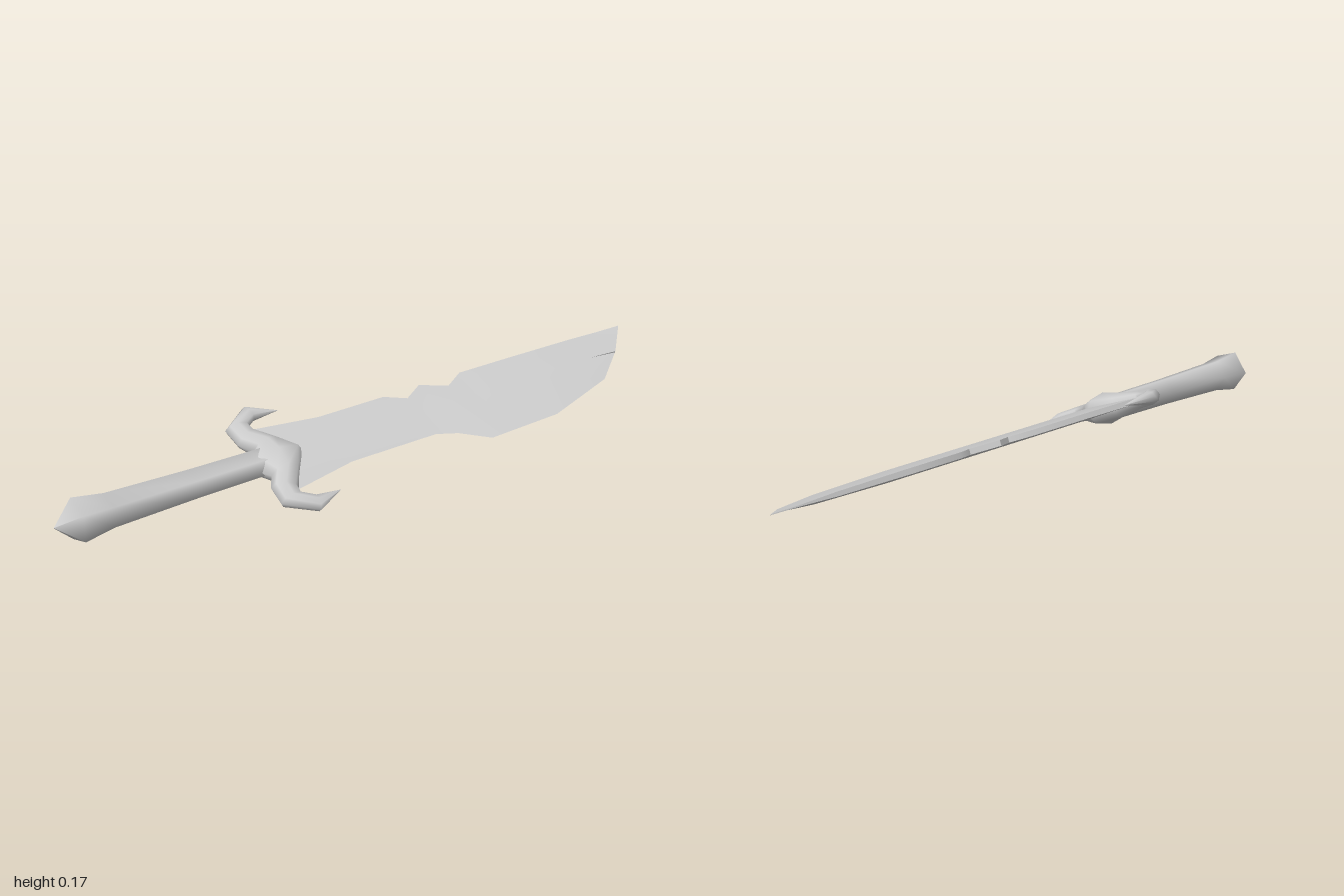
import * as THREE from 'three';
import { toCreasedNormals } from 'three/addons/utils/BufferGeometryUtils.js';

const ROLL = 0.37; // the sword lies rolled about its long axis
const WIDEN = 1 / Math.cos(ROLL); // plan widths to true widths

// Skin closed rings of [x, y, z] points, ordered counterclockwise about the travel direction
function loft(rings) {
  const n = rings[0].length;
  const index = [];
  for (let r = 0; r < rings.length - 1; r++) {
    for (let i = 0; i < n; i++) {
      const a = r * n + i, b = r * n + (i + 1) % n;
      index.push(a, b, b + n, a, b + n, a + n);
    }
  }
  const geo = new THREE.BufferGeometry();
  geo.setAttribute('position', new THREE.Float32BufferAttribute(rings.flat(2), 3));
  geo.setIndex(index);
  geo.computeVertexNormals();
  return geo;
}

function part(name, geo) {
  const mesh = new THREE.Mesh(geo, new THREE.MeshStandardMaterial({ color: 0xcccccc }));
  mesh.name = name;
  return mesh;
}

// Notched blunt spine on one side, cutting edge on the other, raised middle ridge
function blade() {
  // z, spine x, edge x, half thickness at the ridge
  const stations = [
    [0.35, -0.11, 0.112, 0.016], [0.145, -0.086, 0.08, 0.016], [-0.08, -0.087, 0.08, 0.016],
    [-0.145, -0.058, 0.08, 0.016], [-0.21, -0.09, 0.1, 0.016], [-0.295, -0.058, 0.15, 0.016],
    [-0.36, -0.09, 0.148, 0.016], [-0.545, -0.09, 0.143, 0.016], [-0.79, -0.09, 0.08, 0.012],
    [-0.905, -0.09, 0, 0.004], [-1, -0.09, -0.09, 0.001],
  ];
  const rings = stations.map(([z, l, r, h]) => {
    const left = l * WIDEN, right = r * WIDEN, ridge = Math.min(0, right);
    const s = h * 0.5;
    return [[left, -s, z], [left, s, z], [ridge, h, z], [right, 0, z], [ridge, -h, z]];
  });
  return part('blade', toCreasedNormals(loft(rings), 0.7));
}

// Crossguard: spiked centre, with arms sweeping back and hooking forward
function guard() {
  // front x, z; back x, z; half height (centre to tip)
  const half = [
    [0, 0.25, 0, 0.43, 0.048],
    [0.055, 0.298, 0.045, 0.385, 0.036],
    [0.108, 0.34, 0.08, 0.41, 0.026],
    [0.13, 0.342, 0.137, 0.415, 0.024],
    [0.146, 0.315, 0.192, 0.325, 0.02],
    [0.153, 0.235, 0.154, 0.235, 0.001],
  ];
  const mirrored = half.slice(1).reverse().map(([fx, fz, bx, bz, h]) => [-fx, fz, -bx, bz, h]);
  const sides = 8;
  const rings = [...mirrored, ...half].map(([fx, fz, bx, bz, h]) =>
    Array.from({ length: sides }, (_, i) => {
      const a = (i / sides) * Math.PI * 2;
      const t = 0.5 + 0.5 * Math.sin(a);
      return [(fx + (bx - fx) * t) * WIDEN, h * Math.cos(a), fz + (bz - fz) * t];
    }));
  return part('crossguard', loft(rings));
}

// Five-sided grip flaring into a pointed pommel
function handle() {
  const profile = [[0.36, 0.04], [0.42, 0.04], [0.6, 0.042], [0.85, 0.049], [0.94, 0.063], [1, 0.001]];
  const rings = profile.map(([z, r]) =>
    Array.from({ length: 5 }, (_, i) => {
      const a = Math.PI + ROLL + (i / 5) * Math.PI * 2;
      return [r * Math.cos(a) - 0.005, r * Math.sin(a), z];
    }));
  return part('handle', loft(rings));
}

export function createModel() {
  const sword = new THREE.Group();
  sword.name = 'sword';
  sword.add(blade(), guard(), handle());
  sword.rotation.z = -ROLL;
  sword.position.y = 0.086;
  const model = new THREE.Group();
  model.add(sword);
  return model;
}
